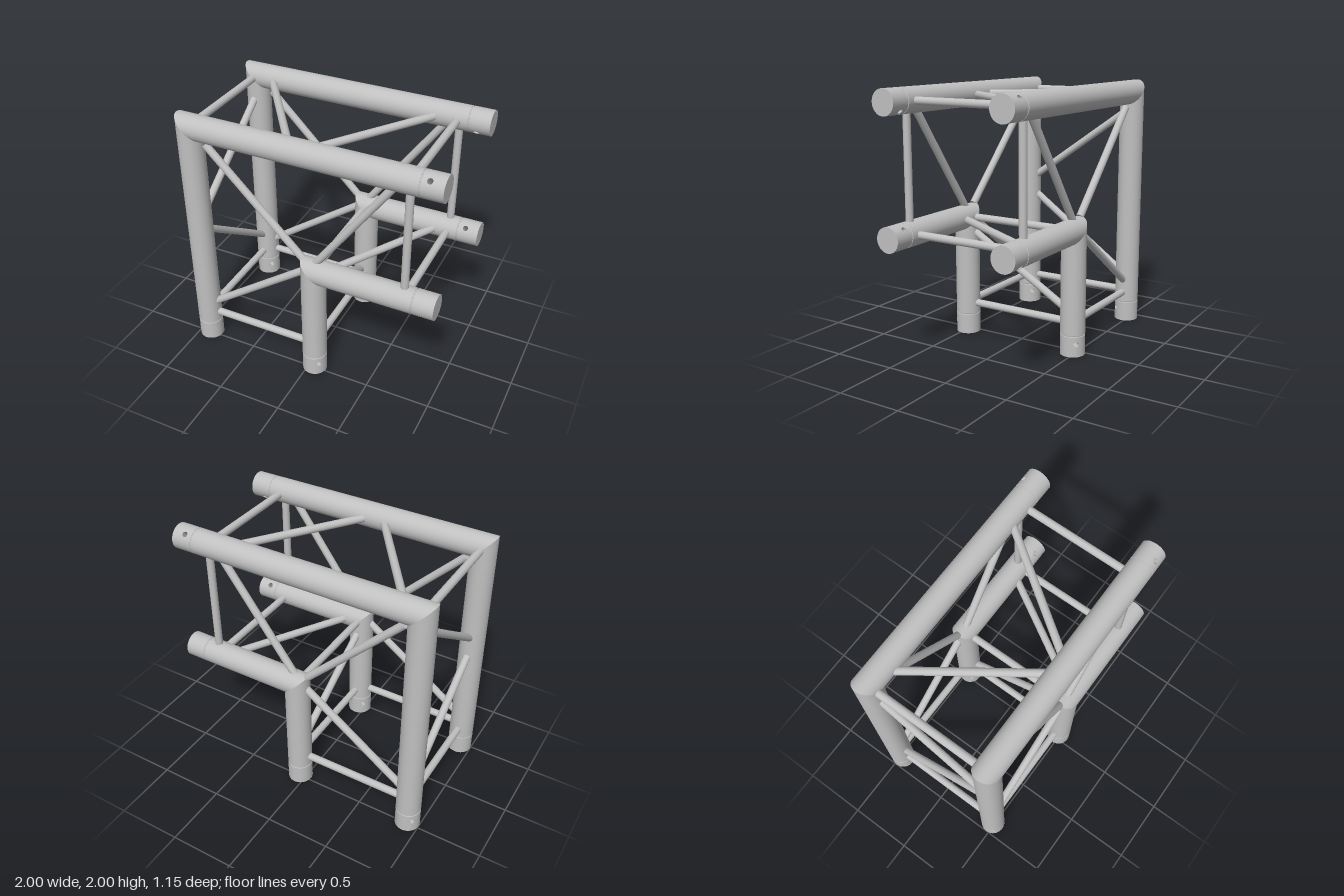
import * as THREE from 'three';
import { ParametricGeometry } from 'three/addons/geometries/ParametricGeometry.js';

const R = 0.095;        // main tube radius
const BRACE_R = 0.029;  // thin brace radius
const Z = 0.48;         // tube planes at z = +Z and -Z
const CAP = 0.156, TUBE = 0.166, HOLE_Y = 0.1, HOLE_R = 0.02;

const aluminium = new THREE.MeshStandardMaterial({ color: 0xc0c0c0, side: THREE.DoubleSide });
aluminium.name = 'aluminium';

function add(parent, name, geometry) {
  const mesh = new THREE.Mesh(geometry, aluminium);
  mesh.name = name;
  parent.add(mesh);
  return mesh;
}

// Half of a sleeve wall, blended from a round hole out to its rectangular border
function halfSleeve(t, s, target) {
  const side = Math.min(3, Math.floor(s * 4));
  const f = s * 4 - side;
  const [a, b] = [[-1 + 2 * f, 0], [1, f], [1 - 2 * f, 1], [-1, 1 - f]][side];
  const theta = a * Math.PI / 2, y = b * CAP;
  const angle = Math.atan2(y - HOLE_Y, theta * R);
  const th = THREE.MathUtils.lerp(HOLE_R * Math.cos(angle) / R, theta, t);
  const v = THREE.MathUtils.lerp(HOLE_Y + HOLE_R * Math.sin(angle), y, t);
  target.set(R * Math.sin(th), v, R * Math.cos(th));
}

// Tube standing on its drilled end, cut at 45 degrees at the top
function mitredTube(name, length, slope, holeSign) {
  const g = new THREE.Group();
  g.name = name;

  const wall = new THREE.CylinderGeometry(R, R, length - TUBE, 48, 1, true);
  wall.translate(0, (length + TUBE) / 2, 0);
  const p = wall.attributes.position;
  for (let i = 0; i < p.count; i++) {
    if (p.getY(i) > length - 0.001) p.setY(i, length + slope * p.getX(i));
  }
  add(g, 'tubeWall', wall);

  // recessed joint line between tube and end sleeve
  const groove = [[R, CAP], [0.09, CAP + 0.001], [0.09, TUBE - 0.001], [R, TUBE]];
  add(g, 'groove', new THREE.LatheGeometry(groove.map(([x, y]) => new THREE.Vector2(x, y)), 48));

  // end sleeve with a pin hole drilled right through
  const turn = holeSign * Math.PI / 4;
  for (const half of [0, Math.PI]) {
    add(g, 'endSleeve', new ParametricGeometry(halfSleeve, 8, 48).rotateY(turn + half));
  }
  const depth = 2 * Math.sqrt(R * R - HOLE_R * HOLE_R);
  add(g, 'pinHole', new THREE.CylinderGeometry(HOLE_R, HOLE_R, depth, 20, 1, true)
    .rotateX(Math.PI / 2).rotateY(turn).translate(0, HOLE_Y, 0));
  add(g, 'endFace', new THREE.CircleGeometry(R, 48).rotateX(Math.PI / 2));
  return g;
}

// Thin round bar between two points, lengthened at both ends by "extra"
function brace(parent, name, from, to, extra = 0.03) {
  const a = new THREE.Vector3(...from), b = new THREE.Vector3(...to);
  const dir = b.clone().sub(a);
  const length = dir.length() + 2 * extra;
  const mesh = add(parent, name, new THREE.CylinderGeometry(BRACE_R, BRACE_R, length, 20));
  mesh.position.copy(a).add(b).multiplyScalar(0.5);
  mesh.quaternion.setFromUnitVectors(new THREE.Vector3(0, 1, 0), dir.normalize());
}

export function createModel() {
  const model = new THREE.Group();
  model.name = 'cornerTruss';

  // The frame is symmetric about its corner diagonal: x and y swap as (1 - y, 1 - x)
  const swap = ([x, y, z]) => [1 - y, 1 - x, z];
  function bracePair(name, from, to, extra) {
    brace(model, name, from, to, extra);
    brace(model, name, swap(from), swap(to), extra);
  }

  for (const side of [1, -1]) {
    const z = side * Z;

    // outer and inner bent tubes
    for (const [label, axisX, length, sign] of [['outer', -0.905, 1.905, -1], ['inner', 0.05, 0.95, 1]]) {
      const leg = mitredTube(label + 'Leg', length, -1, sign * side);
      leg.position.set(axisX, 0, z);
      const beam = mitredTube(label + 'Beam', length, 1, -sign * side);
      beam.rotation.z = Math.PI / 2;
      beam.position.set(1, length, z);
      model.add(leg, beam);
    }

    // braces within each side frame
    brace(model, 'cornerBrace', [-0.787, 1.787, z], [-0.037, 1.037, z], 0);
    bracePair('sideStrut', [0.755, 1.04, z], [0.755, 1.815, z]);
    bracePair('sideDiagonal', [0.085, 1.045, z], [0.635, 1.81, z], 0.04);
  }

  // straight spreaders between the two side frames
  const W = 0.39;
  brace(model, 'outerCornerSpreader', [-0.905, 1.905, -W], [-0.905, 1.905, W]);
  brace(model, 'innerCornerSpreader', [0.05, 0.95, -W], [0.05, 0.95, W]);
  bracePair('outerEndSpreader', [0.755, 1.905, -W], [0.755, 1.905, W]);
  bracePair('innerEndSpreader', [0.755, 0.95, -W], [0.755, 0.95, W]);

  // slanted spreaders
  bracePair('outerCornerDiagonal', [-0.72, 1.905, -W], [-0.17, 1.905, W]);
  bracePair('outerEndDiagonal', [0.02, 1.905, W], [0.575, 1.905, -W]);
  bracePair('innerEndDiagonal', [0.175, 0.95, W], [0.64, 0.95, -W]);

  return model;
}
